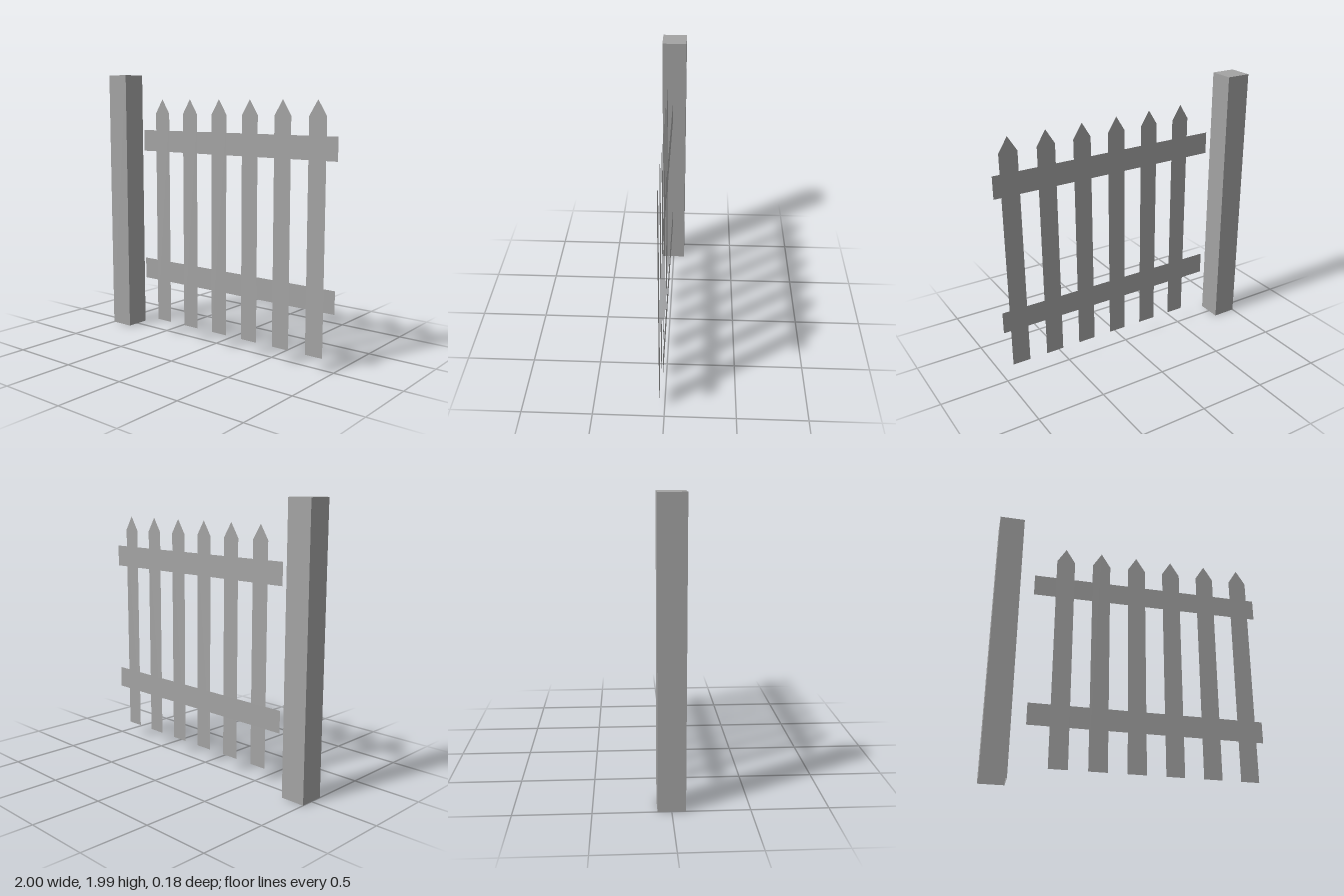
import * as THREE from 'three';

export function createModel() {
  const group = new THREE.Group();
  const paint = new THREE.MeshStandardMaterial({ color: 0xa3a3a3, side: THREE.DoubleSide });
  paint.name = 'greyPaint';

  const add = (name, geometry, x, y, z) => {
    const mesh = new THREE.Mesh(geometry, paint);
    mesh.name = name;
    mesh.position.set(x, y, z);
    group.add(mesh);
  };

  // Square post, open underneath: drop the box's bottom face (indices 18 to 23)
  const postHeight = 1.985;
  const post = new THREE.BoxGeometry(0.18, postHeight, 0.18);
  post.setIndex(Array.from(post.index.array).filter((_, i) => i < 18 || i > 23));
  post.clearGroups();
  add('post', post, -0.91, postHeight / 2, 0);

  // Two flat rails
  const rail = new THREE.PlaneGeometry(1.71, 0.16);
  add('lowerRail', rail, 0.144, 0.48, 0.005);
  add('upperRail', rail, 0.144, 1.487, 0.005);

  // Six flat pointed pickets in front of the rails
  const half = 0.067;
  const outline = new THREE.Shape([
    new THREE.Vector2(-half, 0.094),
    new THREE.Vector2(half, 0.094),
    new THREE.Vector2(half, 1.695),
    new THREE.Vector2(0, 1.802),
    new THREE.Vector2(-half, 1.695),
  ]);
  const picket = new THREE.ShapeGeometry(outline);
  for (let i = 0; i < 6; i++) {
    add(`picket${i + 1}`, picket, -0.488 + i * 0.2705, 0, 0.037);
  }

  return group;
}
